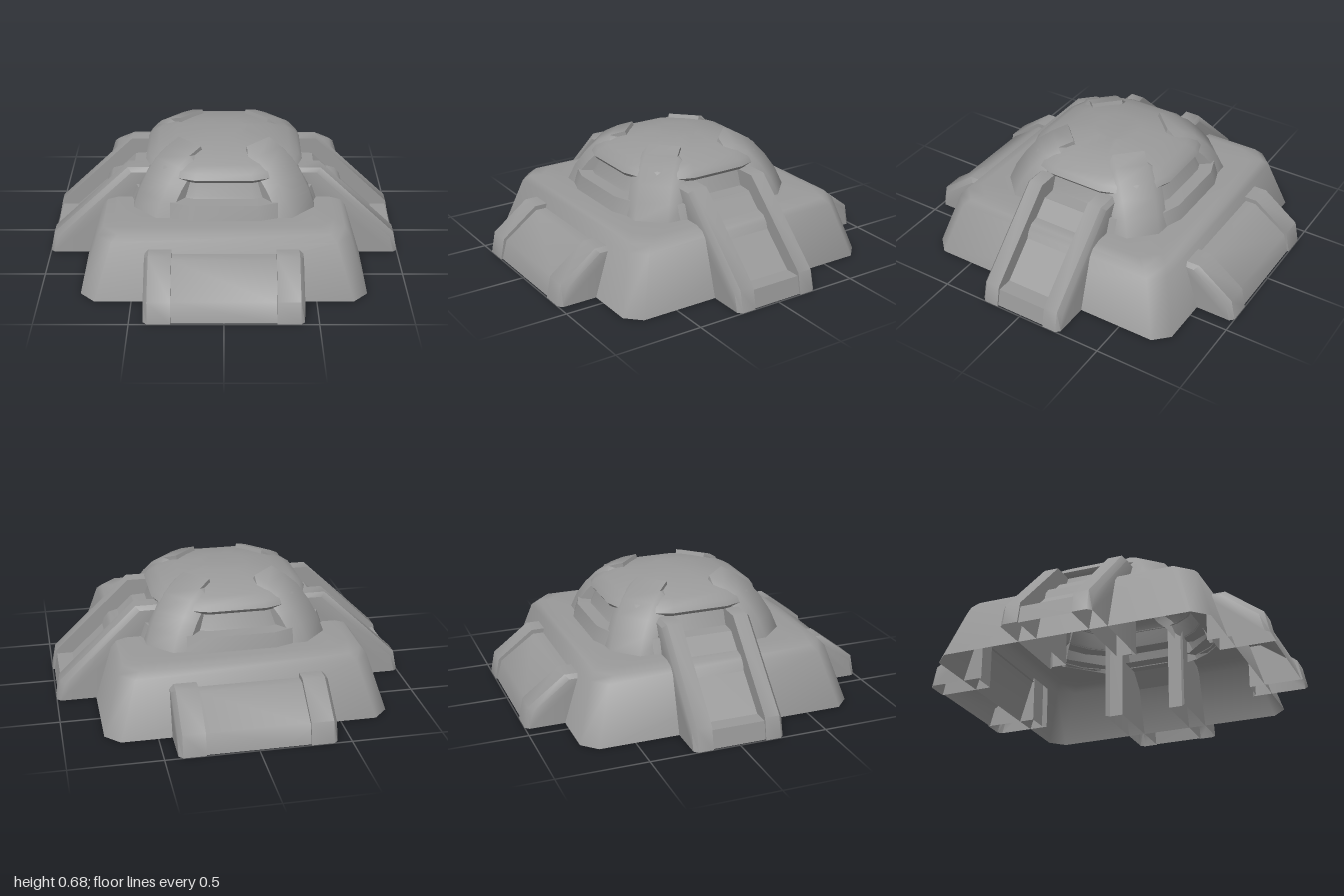
import * as THREE from 'three';
import { toCreasedNormals } from 'three/addons/utils/BufferGeometryUtils.js';

// Mid grey; the shells are open underneath, so both sides show
const material = new THREE.MeshStandardMaterial({ color: 0x999999, side: THREE.DoubleSide });

// Skin a list of cross-sections (arrays of [x, y, z]) with optional convex end caps
function loft(name, sections, { closed = false, capStart = false, capEnd = false, crease = 0.5 } = {}) {
  const n = sections[0].length;
  const index = [];
  for (let i = 0; i < sections.length - 1; i++) {
    for (let j = 0; j < (closed ? n : n - 1); j++) {
      const k = (j + 1) % n;
      const a = i * n + j, b = a + n, c = i * n + k, d = c + n;
      index.push(a, b, c, b, d, c);
    }
  }
  const end = (sections.length - 1) * n;
  for (let j = 1; j < n - 1; j++) {
    if (capStart) index.push(0, j, j + 1);
    if (capEnd) index.push(end, end + j + 1, end + j);
  }
  const geometry = new THREE.BufferGeometry();
  geometry.setAttribute('position', new THREE.Float32BufferAttribute(sections.flat(2), 3));
  geometry.setIndex(index);
  const mesh = new THREE.Mesh(toCreasedNormals(geometry, crease), material);
  mesh.name = name;
  return mesh;
}

// Square with cut corners, at height y
function cutSquare(half, cut, y) {
  const h = half, c = half - cut;
  return [[h, -c], [h, c], [c, h], [-c, h], [-h, c], [-h, -c], [-c, -h], [c, -h]].map(([x, z]) => [x, y, z]);
}

// Twenty-sided round with four broad flats, at height y
function flattenedRound(r, y) {
  const quarter = [[1, -0.36], [1, 0.36], [0.93, 0.56], [0.78, 0.78], [0.56, 0.93]];
  const points = [];
  for (let q = 0; q < 4; q++) {
    for (let [x, z] of quarter) {
      for (let i = 0; i < q; i++) [x, z] = [-z, x];
      points.push([x * r, y, z * r]);
    }
  }
  return points;
}

// Profile in x/y swept along z; each stop is [z, inset]
function sweep(name, profile, stops, caps, crease) {
  const sections = stops.map(([z, inset]) =>
    profile.map(([x, y]) => [x - inset, Math.max(0, y - inset), z]));
  return loft(name, sections, { capStart: caps, capEnd: caps, crease });
}

// Two bevelled rails with a recessed panel between them
function railedRamp(name, railProfile, panelProfile, inner, outer) {
  const group = new THREE.Group();
  group.name = name;
  const bevel = 0.022;
  group.add(
    sweep('leftRail', railProfile, [[outer, bevel], [outer - bevel, 0], [inner, 0]], true, 0.78),
    sweep('rightRail', railProfile, [[-inner, 0], [-outer + bevel, 0], [-outer, bevel]], true, 0.78),
    sweep('panel', panelProfile, [[inner, 0], [-inner, 0]], false, 0.7));
  return group;
}

// Curved strap hugging the dome, with bevelled sides
function domeStrap() {
  const path = [[0.62, 0.355], [0.575, 0.45], [0.515, 0.53], [0.44, 0.605], [0.36, 0.645], [0.27, 0.675]];
  const across = [[-0.15, 0.12], [-0.15, 0.05], [-0.09, 0], [0.09, 0], [0.15, 0.05], [0.15, 0.12]];
  const sections = path.map(([x, y], i) => {
    const p = path[Math.max(0, i - 1)], q = path[Math.min(path.length - 1, i + 1)];
    const length = Math.hypot(q[0] - p[0], q[1] - p[1]);
    const nx = (q[1] - p[1]) / length, ny = (p[0] - q[0]) / length;
    const last = i === path.length - 1;
    return across.map(([z, depth]) => [x - nx * depth, y - ny * depth, last ? Math.sign(z) * 0.09 : z]);
  });
  return loft('domeStrap', sections, { capEnd: true, crease: 0.85 });
}

export function createModel() {
  const model = new THREE.Group();
  model.name = 'bunker';

  // Sloped base, open underneath and below the dome
  model.add(loft('base', [
    cutSquare(0.78, 0.08, 0), cutSquare(0.685, 0.08, 0.31),
    cutSquare(0.655, 0.085, 0.345), cutSquare(0.6, 0.09, 0.36),
    cutSquare(0.46, 0.19, 0.36),
  ], { closed: true, crease: 0.9 }));

  // Collar and neck below the dome
  const turned = (profile) => profile.map(([r, y]) => flattenedRound(r, y));
  model.add(loft('collar', turned([[0.54, 0.355], [0.515, 0.44], [0.44, 0.445]]), { closed: true }));
  model.add(loft('neck', turned([[0.445, 0.44], [0.435, 0.46], [0.405, 0.54]]), { closed: true }));

  // Dome with a tucked-in lower lip
  model.add(loft('dome', turned([
    [0.395, 0.53], [0.425, 0.535], [0.44, 0.555], [0.42, 0.585], [0.37, 0.615],
    [0.27, 0.65], [0.12, 0.675],
  ]), { closed: true, capEnd: true, crease: 1 }));

  // Four diagonal straps
  for (let i = 0; i < 4; i++) {
    const strap = domeStrap();
    strap.rotation.y = Math.PI / 4 + i * Math.PI / 2;
    model.add(strap);
  }

  // Tall ramps on both sides, low ramps at front and back
  for (const turn of [0, Math.PI]) {
    const tall = railedRamp('sideButtress',
      [[1, 0], [0.975, 0.12], [0.54, 0.535], [0.41, 0.535], [0.41, 0]],
      [[0.99, 0], [0.97, 0.1], [0.88, 0.1], [0.54, 0.42], [0.52, 0.44], [0.42, 0.44]],
      0.15, 0.255);
    tall.rotation.y = turn;
    const low = railedRamp('endBlock',
      [[1, 0], [0.975, 0.12], [0.77, 0.275], [0.69, 0.275], [0.69, 0]],
      [[0.99, 0], [0.96, 0.11], [0.765, 0.25], [0.69, 0.25]],
      0.28, 0.425);
    low.rotation.y = turn - Math.PI / 2;
    model.add(tall, low);
  }
  return model;
}
